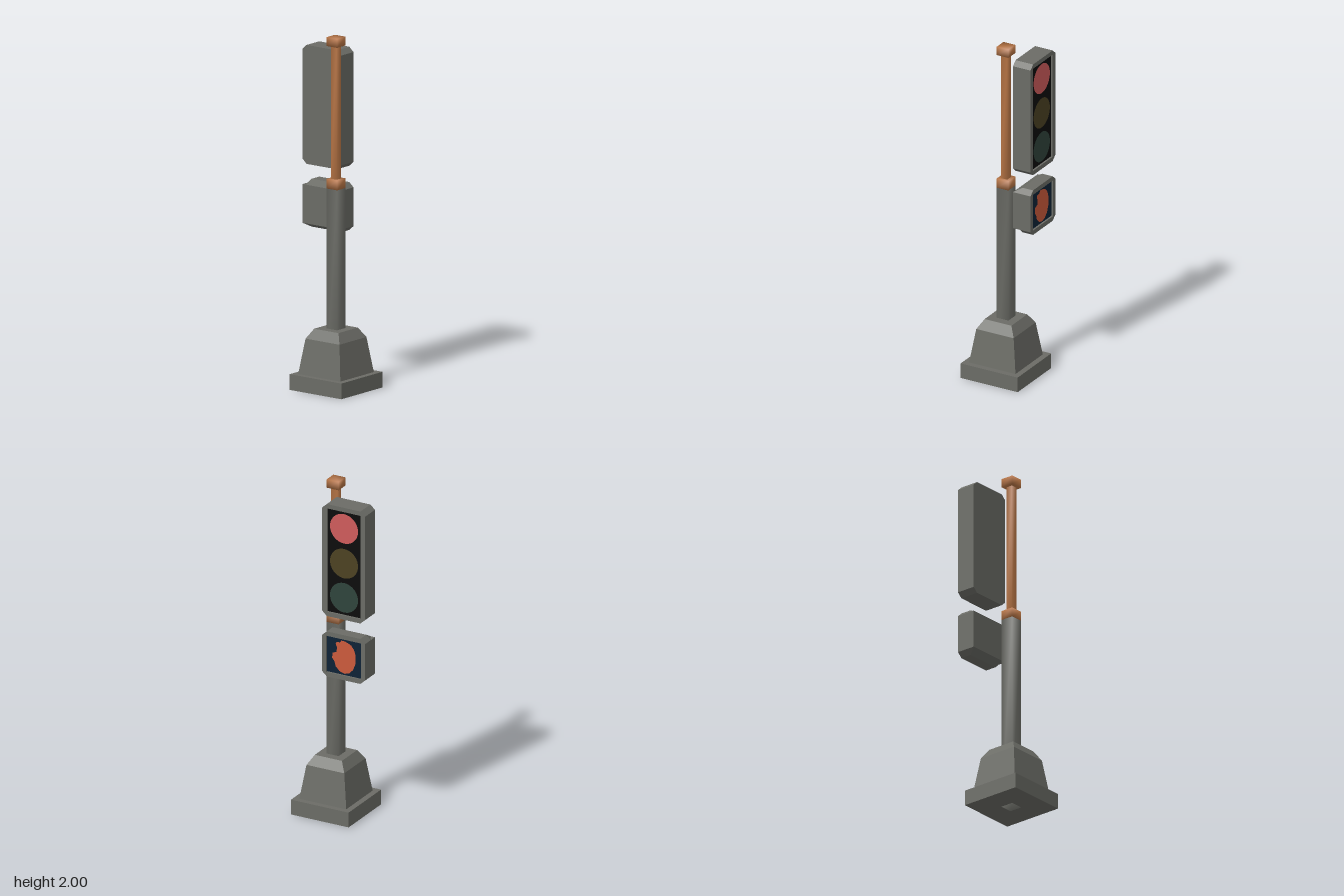
import * as THREE from 'three';
import { mergeVertices } from 'three/addons/utils/BufferGeometryUtils.js';

const POLE_Z = 0.044;   // pole axis
const HEAD_Z = -0.0925; // centre of both signal heads
const BACK = 0.044, FRONT = 0.157, RECESS = 0.014;

function paint(name, color) {
  const m = new THREE.MeshStandardMaterial({ color });
  m.name = name;
  return m;
}

export function createModel() {
  const model = new THREE.Group();
  model.name = 'trafficSignal';

  const grey = paint('castGrey', 0x6b6c66);
  const copper = paint('copper', 0xb87545);
  const black = paint('panelBlack', 0x0c0c0c);
  const navy = paint('panelNavy', 0x0d2236);
  const red = paint('lampRed', 0xcf5c5c);
  const amber = paint('lampAmber', 0x4c4222);
  const green = paint('lampGreen', 0x2f443c);
  const orange = paint('handOrange', 0xcc5a3c);

  function add(parent, name, geometry, material) {
    const mesh = new THREE.Mesh(geometry, material);
    mesh.name = name;
    parent.add(mesh);
    return mesh;
  }

  // Square foundation: slab, tapering skirt and bevelled shoulder
  const profile = [[0, 0.001], [0.183, 0.001], [0.183, 0.09], [0.149, 0.09],
    [0.12, 0.29], [0.086, 0.345], [0, 0.345]]
    .map(([r, y]) => new THREE.Vector2(r * Math.SQRT2, y));
  const baseGeo = new THREE.LatheGeometry(profile, 4, Math.PI / 4).toNonIndexed();
  baseGeo.computeVertexNormals();
  add(model, 'base', baseGeo, grey).position.z = POLE_Z;

  // Square posts with softened shading across their edges
  function post(name, half, y0, y1, material) {
    const box = new THREE.BoxGeometry(half * 2, y1 - y0, half * 2);
    box.deleteAttribute('normal');
    box.deleteAttribute('uv');
    const geo = mergeVertices(box);
    geo.computeVertexNormals();
    add(model, name, geo, material).position.set(0, (y0 + y1) / 2, POLE_Z);
  }
  post('lowerPole', 0.038, 0, 1.14, grey);
  post('poleCollar', 0.038, 1.14, 1.195, copper);
  post('upperPole', 0.02, 1.19, 1.955, copper);
  post('poleCap', 0.038, 1.95, 2, copper);

  // Rectangle with cut corners, centred on the origin
  function octagon(w, h, cx, cy) {
    const x = w / 2, y = h / 2;
    return new THREE.Shape([[x - cx, -y], [x, -y + cy], [x, y - cy], [x - cx, y],
      [cx - x, y], [-x, y - cy], [-x, cy - y], [cx - x, -y]]
      .map(p => new THREE.Vector2(...p)));
  }

  // Signal head, built facing +z and then turned to face +x
  function signalHead(name, centreY, w, h, panelW, panelH, panelMaterial, bevelDepth) {
    const head = new THREE.Group();
    head.name = name;
    head.position.set(BACK, centreY, HEAD_Z);
    head.rotation.y = Math.PI / 2;
    model.add(head);
    const cy = 0.026, depth = FRONT - BACK;
    const outline = octagon(w, h, 0.029, cy);
    const extrude = (shape, d) => new THREE.ExtrudeGeometry(shape, { depth: d, bevelEnabled: false });

    // Optional sloped back: the rear outline is squeezed in height
    if (bevelDepth) {
      const geo = extrude(outline, bevelDepth);
      const p = geo.attributes.position, limit = h / 2 - cy;
      for (let i = 0; i < p.count; i++) {
        if (p.getZ(i) < 1e-6) p.setY(i, THREE.MathUtils.clamp(p.getY(i), -limit, limit));
      }
      geo.computeVertexNormals();
      add(head, 'housingBack', geo, grey);
    }
    add(head, 'housing', extrude(outline, depth - RECESS - bevelDepth), grey).position.z = bevelDepth;

    // Raised rim around the recessed panel
    const rim = octagon(w, h, 0.029, cy);
    const x = panelW / 2, y = panelH / 2;
    rim.holes.push(new THREE.Path([[-x, -y], [-x, y], [x, y], [x, -y]]
      .map(p => new THREE.Vector2(...p))));
    add(head, 'rim', extrude(rim, RECESS), grey).position.z = depth - RECESS;
    add(head, 'panel', new THREE.PlaneGeometry(panelW, panelH), panelMaterial)
      .position.z = depth - RECESS + 0.003;
    return head;
  }
  const FACE = FRONT - BACK - RECESS + 0.007;

  // Three-lamp vehicle signal
  const vehicle = signalHead('vehicleSignal', 1.573, 0.271, 0.676, 0.213, 0.624, black, 0);
  [['redLamp', red, 0.208], ['amberLamp', amber, -0.002], ['greenLamp', green, -0.208]]
    .forEach(([name, material, y]) => {
      add(vehicle, name, new THREE.CircleGeometry(0.089, 40), material).position.set(-0.001, y, FACE);
    });

  // Pedestrian signal with a raised hand
  const walk = signalHead('pedestrianSignal', 1.006, 0.271, 0.272, 0.221, 0.218, navy, 0.046);
  const hand = new THREE.Shape([[-0.055, 0.07], [-0.048, 0.082], [-0.026, 0.084], [-0.018, 0.097],
    [0.006, 0.096], [0.022, 0.09], [0.044, 0.08], [0.062, 0.058], [0.071, 0.03], [0.071, -0.028],
    [0.056, -0.066], [0.032, -0.09], [0.002, -0.1], [-0.03, -0.09], [-0.054, -0.066],
    [-0.062, -0.036], [-0.077, -0.02], [-0.074, 0.012], [-0.05, 0.022], [-0.045, 0.05]]
    .map(p => new THREE.Vector2(...p)));
  add(walk, 'handSymbol', new THREE.ShapeGeometry(hand), orange).position.z = FACE;

  return model;
}
